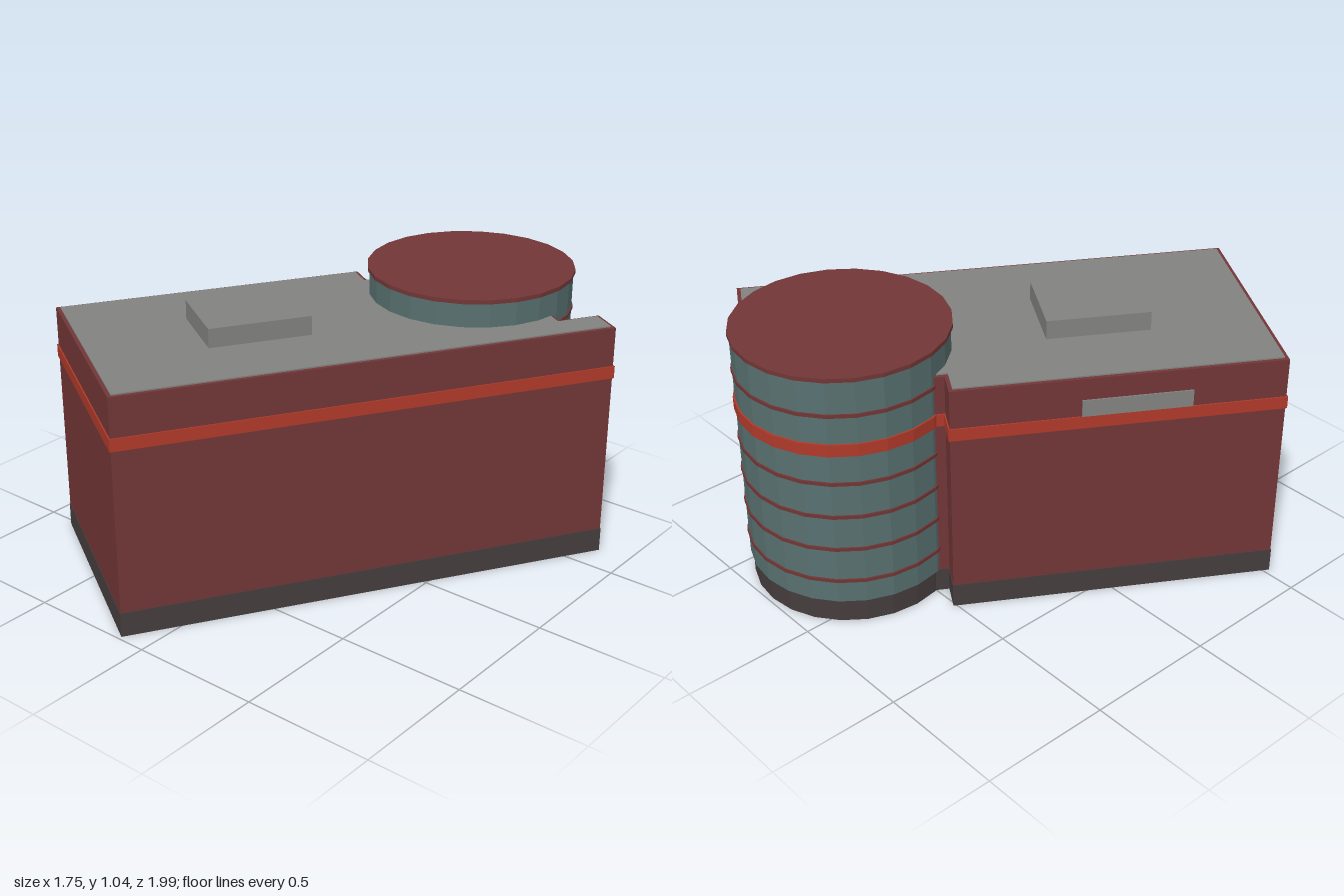
import * as THREE from 'three';

const material = (name, color) => new THREE.MeshStandardMaterial({ name, color, flatShading: true });

export function createModel() {
  const brick = material('brick red', 0x723636);
  const bandRed = material('band red', 0xb03a2a);
  const plinthDark = material('plinth dark', 0x463d3d);
  const glass = material('tower glass', 0x587070);
  const roofGrey = material('roof grey', 0x828380);

  const model = new THREE.Group();
  model.name = 'building';

  // Footprint of the block (x, -z) in its own turned frame, with a notch for the tower
  const footprint = [
    [-0.469, -0.899], [0.415, -0.899], [0.415, 0.988], [0.281, 0.988],
    [0.281, 0.827], [-0.366, 0.827], [-0.366, 0.31], [-0.469, 0.31],
  ].map(([x, y]) => new THREE.Vector2(x, y));

  // Right-angled footprint grown outwards by d
  const grown = (d) => footprint.map((p, i) => {
    const n = footprint.length;
    const a = p.clone().sub(footprint[(i + n - 1) % n]).normalize();
    const b = footprint[(i + 1) % n].clone().sub(p).normalize();
    return new THREE.Vector2(p.x + d * (a.y + b.y), p.y - d * (a.x + b.x));
  });

  // Main block, turned on the ground
  const block = new THREE.Group();
  block.name = 'mainBlock';
  block.rotation.y = -0.549;
  model.add(block);

  const slab = (name, mat, y0, y1, d) => {
    const geometry = new THREE.ExtrudeGeometry(new THREE.Shape(grown(d)), { depth: y1 - y0, bevelEnabled: false });
    geometry.rotateX(-Math.PI / 2);
    const mesh = new THREE.Mesh(geometry, mat);
    mesh.name = name;
    mesh.position.y = y0;
    block.add(mesh);
  };
  slab('plinth', plinthDark, 0, 0.095, 0.002);
  slab('walls', brick, 0.095, 0.925, 0);
  slab('wallBand', bandRed, 0.727, 0.775, 0.005);
  slab('roof', roofGrey, 0.92, 0.93, -0.014);

  const box = (name, w, h, d, x, y, z) => {
    const mesh = new THREE.Mesh(new THREE.BoxGeometry(w, h, d), roofGrey);
    mesh.name = name;
    mesh.position.set(x, y, z);
    block.add(mesh);
  };
  box('roofHousing', 0.305, 0.075, 0.385, -0.03, 0.9655, 0.277);
  box('wallPanel', 0.008, 0.066, 0.4, -0.47, 0.808, 0.356);

  // Round glazed tower
  const tower = new THREE.Group();
  tower.name = 'tower';
  tower.position.set(0.24, 0, -0.603);
  model.add(tower);

  const drum = (name, mat, y0, y1, r) => {
    const mesh = new THREE.Mesh(new THREE.CylinderGeometry(r, r, y1 - y0, 24), mat);
    mesh.name = name;
    mesh.position.y = (y0 + y1) / 2;
    tower.add(mesh);
  };
  drum('towerPlinth', plinthDark, 0, 0.095, 0.38);
  drum('towerGlass', glass, 0.095, 1.022, 0.39);
  drum('towerCap', brick, 1.022, 1.038, 0.397);
  drum('towerBand', bandRed, 0.727, 0.775, 0.397);
  // Floor rings
  for (const y of [0.19, 0.33, 0.47, 0.61, 0.888]) drum('floorRing', brick, y - 0.007, y + 0.007, 0.395);

  return model;
}
